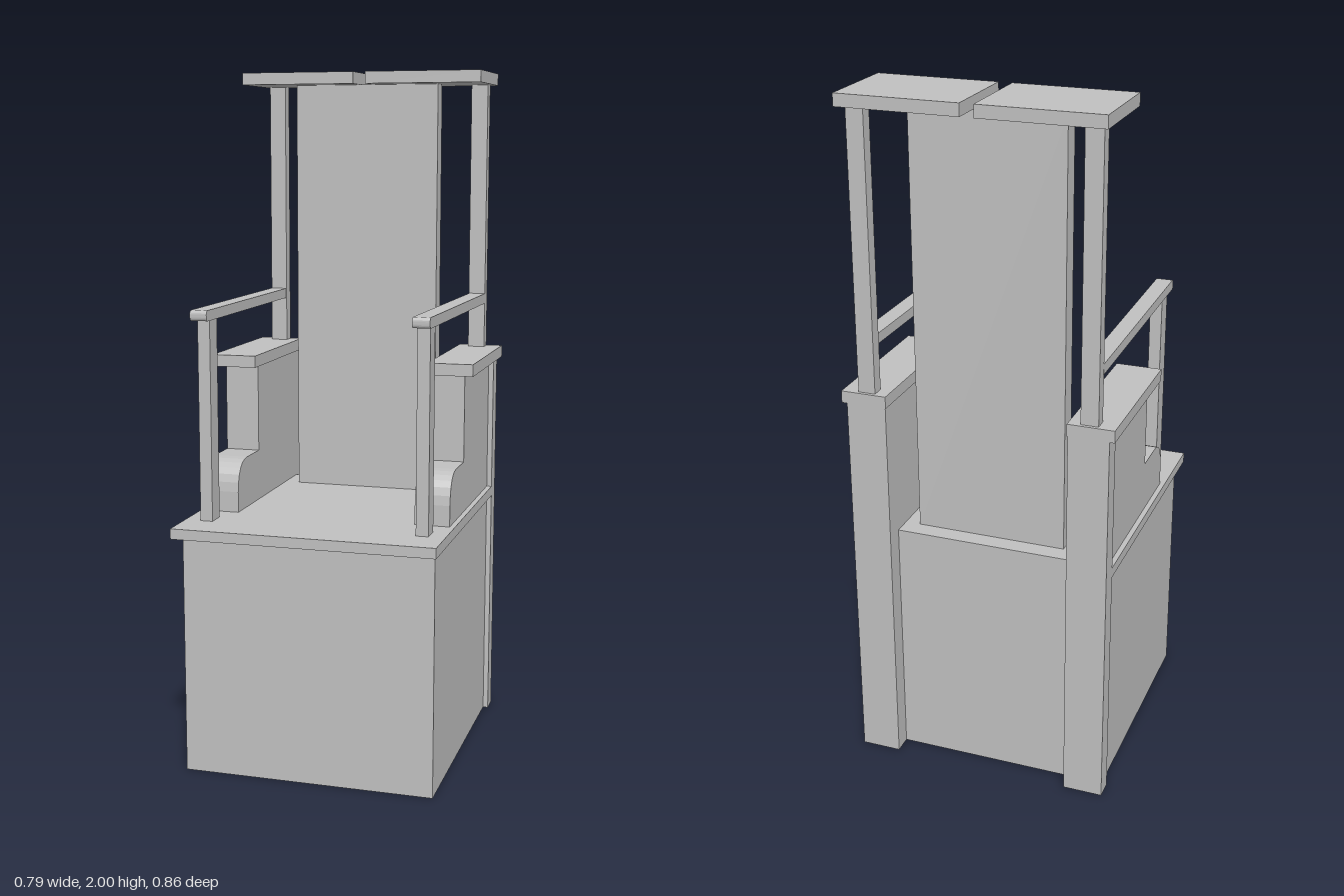
import * as THREE from 'three';

export function createModel() {
  const model = new THREE.Group();
  model.name = 'highBackThrone';
  const grey = new THREE.MeshStandardMaterial({ color: 0xc0c0c0 });
  grey.name = 'plain grey';

  const add = (name, geometry) => {
    const mesh = new THREE.Mesh(geometry, grey);
    mesh.name = name;
    model.add(mesh);
    return mesh;
  };

  // Box given by its limits on each axis
  const box = (name, [x0, x1], [y0, y1], [z0, z1]) =>
    add(name, new THREE.BoxGeometry(x1 - x0, y1 - y0, z1 - z0)
      .translate((x0 + x1) / 2, (y0 + y1) / 2, (z0 + z1) / 2));

  // Side profile drawn in (z, y), extruded across x
  const sideExtrude = (shape, [x0, x1]) =>
    new THREE.ExtrudeGeometry(shape, { depth: x1 - x0, bevelEnabled: false, curveSegments: 6 })
      .rotateY(-Math.PI / 2).translate(x1, 0, 0);

  // Base, seat and tall back
  box('base', [-0.365, 0.365], [0, 0.7], [-0.355, 0.375]);
  box('seat', [-0.38, 0.38], [0.7, 0.73], [-0.355, 0.43]);
  box('backboard', [-0.22, 0.22], [0.73, 1.965], [-0.3, -0.245]);

  // Arm panel with a rounded step at the front
  const arm = new THREE.Shape();
  arm.moveTo(-0.355, 0.73);
  arm.lineTo(0.193, 0.73);
  arm.lineTo(0.193, 0.79);
  arm.quadraticCurveTo(0.188, 0.88, 0.115, 0.88);
  arm.lineTo(0.01, 0.88);
  arm.lineTo(0.01, 1.135);
  arm.lineTo(-0.355, 1.135);
  arm.closePath();

  // Handrail with rounded front corners
  const rail = new THREE.Shape();
  rail.moveTo(-0.368, 1.305);
  rail.lineTo(0.343, 1.305);
  rail.quadraticCurveTo(0.355, 1.305, 0.355, 1.317);
  rail.lineTo(0.355, 1.323);
  rail.quadraticCurveTo(0.355, 1.335, 0.343, 1.335);
  rail.lineTo(-0.368, 1.335);
  rail.closePath();

  for (const [side, s] of [['left', 1], ['right', -1]]) {
    const span = (a, b) => (s > 0 ? [a, b] : [-b, -a]);

    box(side + 'BackPillar', span(0.264, 0.38), [0, 1.135], [-0.41, -0.355]);
    add(side + 'ArmPanel', sideExtrude(arm, span(0.264, 0.365)));
    box(side + 'ArmCap', span(0.262, 0.395), [1.135, 1.17], [-0.412, 0.043]);
    box(side + 'FrontPost', span(0.297, 0.333), [0.73, 1.305], [0.26, 0.317]);
    box(side + 'RearPost', span(0.297, 0.347), [1.17, 1.965], [-0.402, -0.365]);

    // Rails close in slightly towards the front
    const railGeometry = sideExtrude(rail, span(0.295, 0.344));
    const p = railGeometry.attributes.position;
    for (let i = 0; i < p.count; i++) p.setX(i, p.getX(i) - s * 0.01 * p.getZ(i));
    add(side + 'Handrail', railGeometry);

    box(side + 'Canopy', span(0.019, 0.365), [1.965, 2], [-0.433, -0.16]);
  }
  return model;
}
